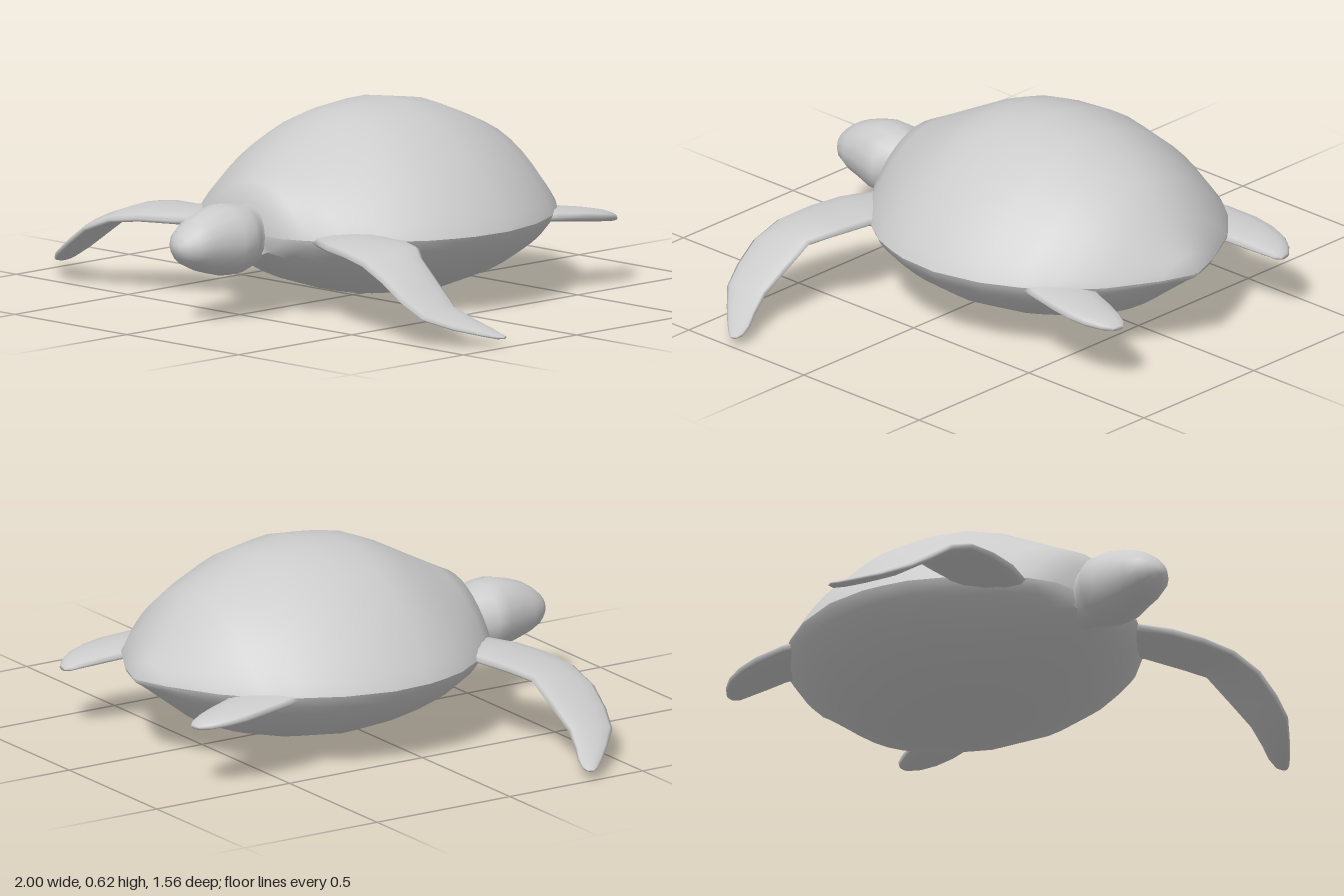
import * as THREE from 'three';
import { toCreasedNormals } from 'three/addons/utils/BufferGeometryUtils.js';

const material = new THREE.MeshStandardMaterial({ color: 0xcccccc, side: THREE.DoubleSide });

// Skin a list of rings (arrays of Vector3); both ends are fanned to a centre point.
function loft(rings, closed, crease = 0) {
  const n = rings[0].length, points = rings.flat(), index = [];
  const span = closed ? n : n - 1;
  for (let r = 0; r < rings.length - 1; r++) {
    for (let i = 0; i < span; i++) {
      const a = r * n + i, b = r * n + (i + 1) % n;
      index.push(a, b, a + n, b, b + n, a + n);
    }
  }
  [0, rings.length - 1].forEach((r, end) => {
    const ring = rings[r];
    const centre = closed
      ? ring.reduce((s, p) => s.add(p), new THREE.Vector3()).divideScalar(n)
      : ring[0].clone().lerp(ring[n - 1], 0.5);
    points.push(centre);
    const c = points.length - 1;
    for (let i = 0; i < span; i++) {
      const a = r * n + i, b = r * n + (i + 1) % n;
      if (end) index.push(a, b, c); else index.push(b, a, c);
    }
  });
  // Turn the faces outward when the enclosed volume comes out negative.
  const middle = points.reduce((s, p) => s.add(p), new THREE.Vector3()).divideScalar(points.length);
  let volume = 0;
  for (let i = 0; i < index.length; i += 3) {
    const [a, b, c] = [0, 1, 2].map(k => points[index[i + k]].clone().sub(middle));
    volume += a.dot(b.cross(c));
  }
  if (volume < 0) index.reverse();
  const geometry = new THREE.BufferGeometry().setFromPoints(points);
  geometry.setIndex(index);
  geometry.computeVertexNormals();
  return crease ? toCreasedNormals(geometry, crease) : geometry;
}

function part(name, geometry) {
  const mesh = new THREE.Mesh(geometry, material);
  mesh.name = name;
  return mesh;
}

// Shell stations from tail to neck: z, half width, top y, bottom y
const RIM = 0.26;
const SHELL = [
  [-0.75, 0.01, 0.265, 0.25], [-0.71, 0.12, 0.31, 0.225], [-0.62, 0.28, 0.41, 0.16],
  [-0.52, 0.39, 0.505, 0.085], [-0.43, 0.455, 0.545, 0.05], [-0.3, 0.52, 0.597, 0.02],
  [-0.14, 0.558, 0.622, 0.004], [0, 0.55, 0.61, 0.015], [0.07, 0.53, 0.597, 0.025],
  [0.15, 0.50, 0.565, 0.045], [0.26, 0.425, 0.507, 0.08], [0.36, 0.325, 0.455, 0.125],
  [0.43, 0.235, 0.42, 0.165], [0.465, 0.15, 0.36, 0.19],
];

// Half of the shell: arches from rim to rim, upward or downward
function shellHalf(column, power) {
  const rings = SHELL.map(s => Array.from({ length: 21 }, (_, i) => {
    const t = Math.PI * i / 20;
    const y = RIM + (s[column] - RIM) * Math.pow(Math.max(0, Math.sin(t)), power);
    return new THREE.Vector3(s[1] * Math.cos(t), y, s[0]);
  }));
  return loft(rings, false, 0.8);
}

// Head and neck stations: z, half width, top y, bottom y
function headGeometry() {
  const stations = [
    [0.34, 0.09, 0.36, 0.17], [0.45, 0.07, 0.355, 0.16], [0.49, 0.09, 0.355, 0.15],
    [0.54, 0.126, 0.365, 0.142], [0.59, 0.118, 0.37, 0.14], [0.65, 0.1, 0.357, 0.155],
    [0.7, 0.09, 0.338, 0.17], [0.74, 0.072, 0.312, 0.19], [0.765, 0.045, 0.288, 0.212],
    [0.777, 0.018, 0.264, 0.234],
  ];
  return loft(stations.map(([z, w, top, bottom]) => Array.from({ length: 16 }, (_, i) => {
    const t = 2 * Math.PI * i / 16;
    return new THREE.Vector3(w * Math.cos(t),
      (top + bottom) / 2 + (top - bottom) / 2 * Math.sin(t), z);
  })), true);
}

// Flipper from sections: [edge A x,y,z], [edge B x,y,z], thickness
function flipper(sections, side) {
  const rings = sections.map(([a, b, thickness]) => {
    const p = new THREE.Vector3(...a), q = new THREE.Vector3(...b);
    return Array.from({ length: 12 }, (_, i) => {
      const t = 2 * Math.PI * i / 12;
      const v = p.clone().lerp(q, 0.5 - 0.5 * Math.cos(t));
      v.y += thickness / 2 * Math.sin(t);
      v.x *= side;
      return v;
    });
  });
  return loft(rings, true);
}

// Leading edge, trailing edge, thickness
const FRONT_FLIPPER = [
  [[0.2, 0.255, 0.4], [0.36, 0.255, 0.2], 0.06],
  [[0.35, 0.255, 0.473], [0.43, 0.262, 0.25], 0.05],
  [[0.46, 0.25, 0.503], [0.51, 0.265, 0.255], 0.045],
  [[0.57, 0.235, 0.525], [0.575, 0.26, 0.275], 0.042],
  [[0.67, 0.195, 0.535], [0.635, 0.24, 0.32], 0.04],
  [[0.75, 0.14, 0.528], [0.73, 0.17, 0.335], 0.04],
  [[0.82, 0.095, 0.505], [0.81, 0.11, 0.347], 0.036],
  [[0.89, 0.065, 0.44], [0.88, 0.075, 0.325], 0.03],
  [[0.95, 0.047, 0.38], [0.93, 0.052, 0.303], 0.024],
  [[0.985, 0.037, 0.34], [0.965, 0.038, 0.297], 0.018],
  [[0.998, 0.035, 0.32], [0.99, 0.035, 0.301], 0.008],
];

// Inner edge, outer edge, thickness
const REAR_FLIPPER = [
  [[0.22, 0.25, -0.48], [0.43, 0.255, -0.38], 0.05],
  [[0.26, 0.245, -0.55], [0.46, 0.25, -0.46], 0.045],
  [[0.29, 0.235, -0.61], [0.474, 0.24, -0.57], 0.045],
  [[0.305, 0.227, -0.67], [0.473, 0.23, -0.64], 0.042],
  [[0.325, 0.217, -0.73], [0.458, 0.22, -0.7], 0.036],
  [[0.342, 0.208, -0.765], [0.43, 0.21, -0.745], 0.028],
  [[0.36, 0.204, -0.778], [0.4, 0.204, -0.772], 0.014],
];

export function createModel() {
  const model = new THREE.Group();
  model.name = 'seaTurtle';
  model.add(part('carapace', shellHalf(2, 1.8)));
  model.add(part('plastron', shellHalf(3, 1.5)));
  model.add(part('head', headGeometry()));
  for (const [label, side] of [['Left', 1], ['Right', -1]]) {
    model.add(part('frontFlipper' + label, flipper(FRONT_FLIPPER, side)));
    model.add(part('rearFlipper' + label, flipper(REAR_FLIPPER, side)));
  }
  return model;
}
